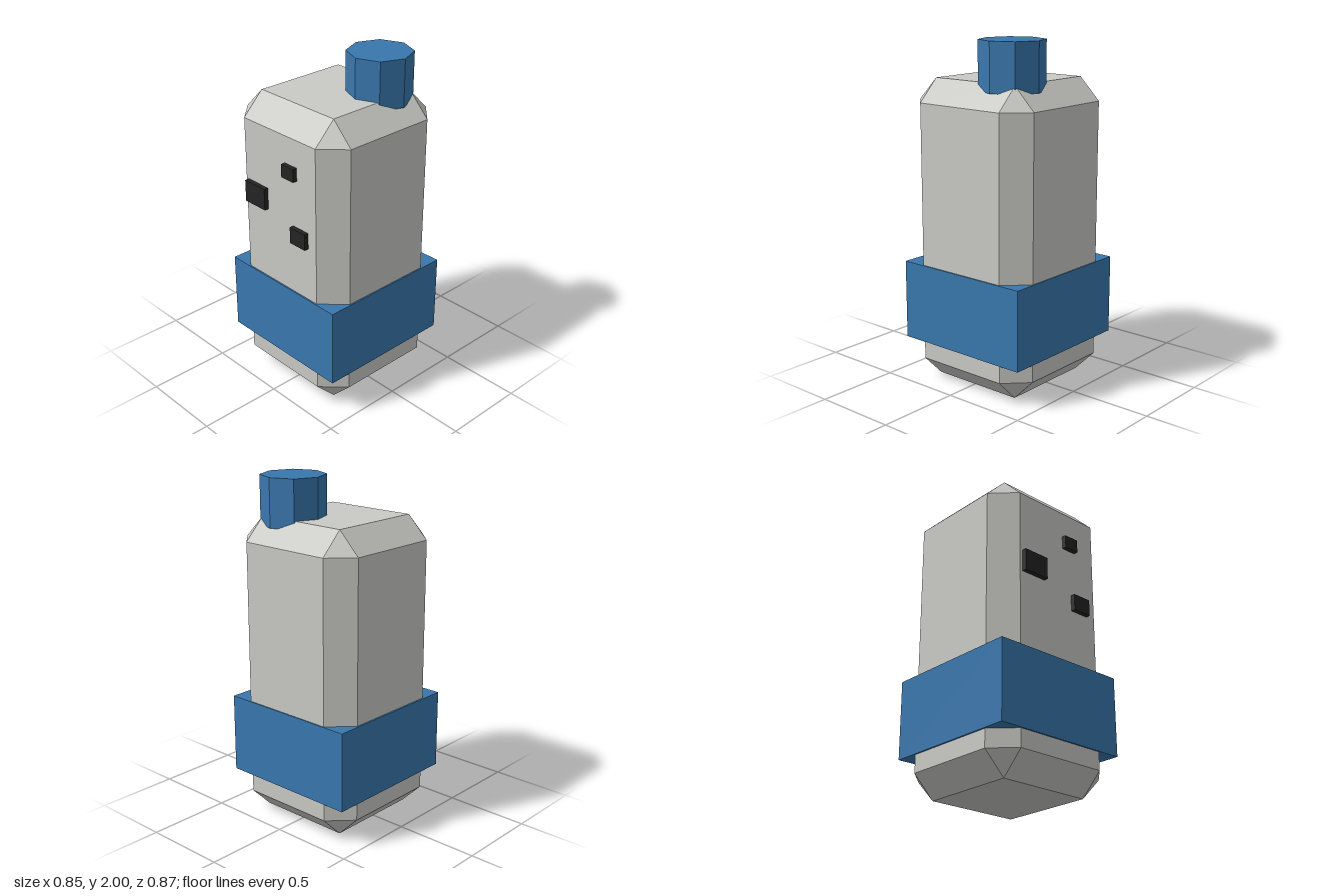
import * as THREE from 'three';
import { ConvexGeometry } from 'three/addons/geometries/ConvexGeometry.js';

const flat = (name, color) => {
  const m = new THREE.MeshStandardMaterial({ color, flatShading: true });
  m.name = name;
  return m;
};

// Box with every edge and corner cut off by c
function chamferedBox(w, h, d, c) {
  const points = [];
  for (const sx of [-1, 1]) for (const sy of [-1, 1]) for (const sz of [-1, 1]) {
    for (let axis = 0; axis < 3; axis++) {
      const half = [w / 2 - c, h / 2 - c, d / 2 - c];
      half[axis] += c;
      points.push(new THREE.Vector3(sx * half[0], sy * half[1], sz * half[2]));
    }
  }
  return new ConvexGeometry(points);
}

export function createModel() {
  const group = new THREE.Group();
  const grey = flat('light grey', 0xc9cac5);
  const blue = flat('blue', 0x3977ae);
  const black = flat('black', 0x242424);

  const add = (name, geometry, material, x, y, z) => {
    const mesh = new THREE.Mesh(geometry, material);
    mesh.name = name;
    mesh.position.set(x, y, z);
    group.add(mesh);
  };

  // Chamfered body and the square band around it
  add('body', chamferedBox(0.836, 1.77, 0.838, 0.13), grey, 0, 0.885, -0.011);
  add('band', new THREE.BoxGeometry(0.854, 0.465, 0.854), blue, -0.001, 0.4675, -0.01);

  // Octagonal cap, off centre towards the back left
  add('cap', new THREE.CylinderGeometry(0.186, 0.186, 0.277, 8), blue, 0.167, 1.8615, -0.178);

  // Raised patches on the front: x, y, width, height
  const patches = [
    [-0.187, 1.21, 0.165, 0.13],
    [0.093, 1.443, 0.095, 0.077],
    [0.165, 1.073, 0.12, 0.097],
  ];
  for (const [x, y, w, h] of patches) {
    add('frontPatch', new THREE.BoxGeometry(w, h, 0.04), black, x, y, 0.415);
  }
  return group;
}
